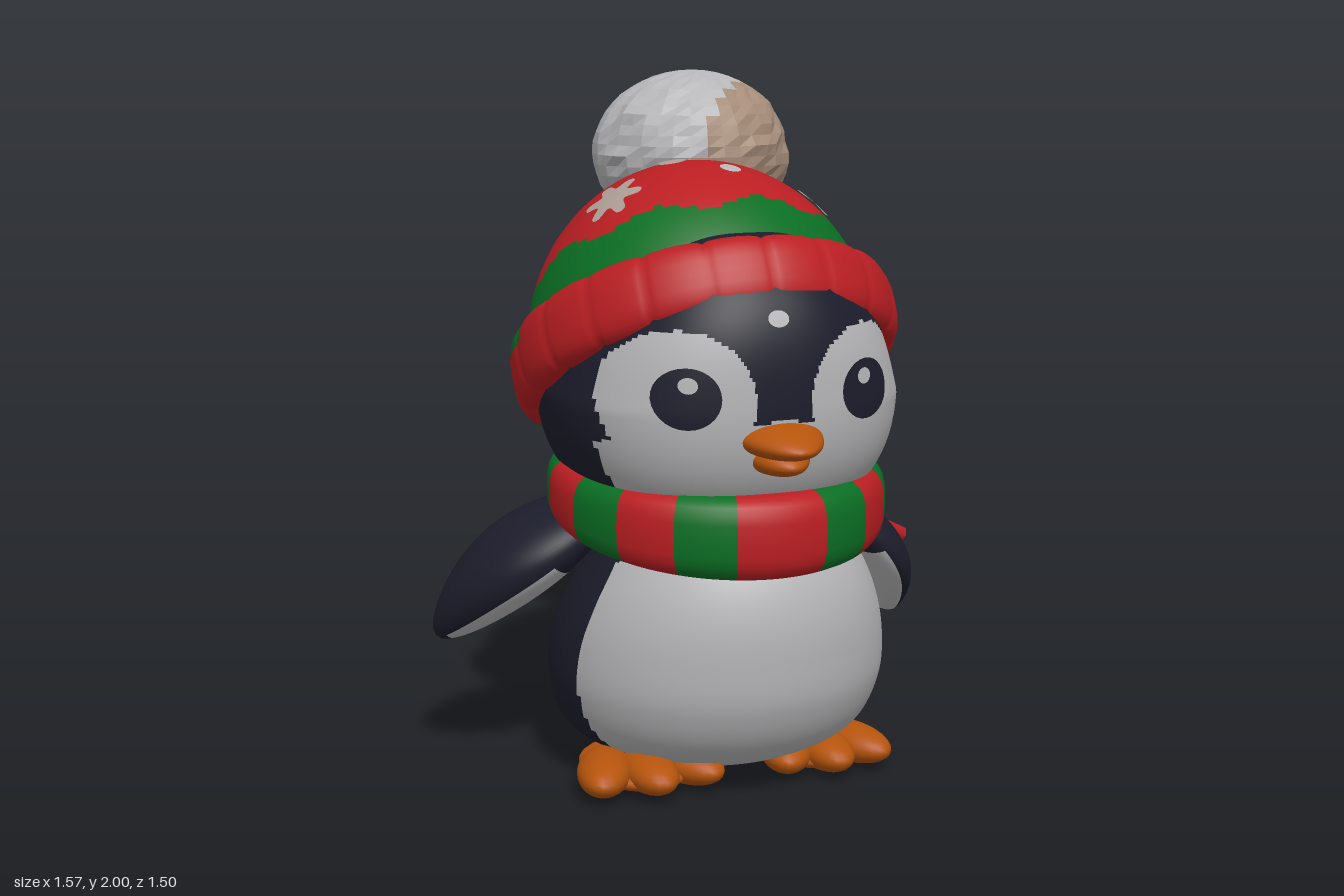
import * as THREE from 'three';
import { mergeVertices } from 'three/addons/utils/BufferGeometryUtils.js';

const PI = Math.PI, { sin, cos, abs, pow, sign, hypot } = Math;
const V = (x, y, z) => new THREE.Vector3(x, y, z);
const colour = (name, hex) => {
  const m = new THREE.MeshStandardMaterial({ color: hex });
  m.name = name;
  return m;
};
const sp = (c, e) => sign(c) * pow(abs(c), e);
const hash = (i, j) => { const s = sin(i * 127.1 + j * 311.7) * 43758.5453; return s - Math.floor(s); };

// Mesh over a (u, v) grid, each cell coloured by pick(u, v, point); faces point away from origin
function surface(name, nu, nv, f, mats, pick = () => 0, { flat = false, origin = null } = {}) {
  const pts = [], buckets = mats.map(() => []);
  for (let j = 0; j <= nv; j++) for (let i = 0; i <= nu; i++) pts.push(f(i / nu, j / nv));
  const o = origin || pts.reduce((s, p) => s.add(p), V(0, 0, 0)).divideScalar(pts.length);
  let volume = 0;
  const rel = k => pts[k].clone().sub(o);
  for (let j = 0; j < nv; j++) for (let i = 0; i < nu; i++) {
    const a = j * (nu + 1) + i, b = a + 1, c = a + nu + 1, d = c + 1;
    const mid = pts[a].clone().add(pts[d]).multiplyScalar(0.5);
    buckets[pick((i + 0.5) / nu, (j + 0.5) / nv, mid)].push(a, b, d, a, d, c);
    volume += rel(a).dot(rel(b).cross(rel(d))) + rel(a).dot(rel(d).cross(rel(c)));
  }
  if (volume < 0) buckets.forEach(t => { for (let k = 0; k < t.length; k += 3) [t[k], t[k + 1]] = [t[k + 1], t[k]]; });
  let g = new THREE.BufferGeometry().setFromPoints(pts);
  g.setIndex(buckets.flat());
  g = mergeVertices(g, 1e-5);
  let start = 0;
  buckets.forEach((t, k) => { if (t.length) g.addGroup(start, t.length, k); start += t.length; });
  if (flat) g = g.toNonIndexed();
  g.computeVertexNormals();
  const mesh = new THREE.Mesh(g, mats);
  mesh.name = name;
  return mesh;
}

function ellipsoid(name, c, r, mat) {
  const m = new THREE.Mesh(new THREE.SphereGeometry(1, 24, 16), mat);
  m.position.set(...c);
  m.scale.set(...r);
  m.name = name;
  return m;
}

export function createModel() {
  const model = new THREE.Group();
  model.name = 'winterPenguin';
  const white = colour('white', 0xb6b6b8), navy = colour('navy', 0x1c1d2b), red = colour('red', 0xba1e22);
  const green = colour('green', 0x0b6e24), orange = colour('orange', 0xb5540c), beige = colour('beige', 0xa68d7a);
  const crease = colour('crease', 0x701a14), snow = colour('snow', 0xae9f96);

  // Body with a pale belly; profile points are (radius, height, centre z)
  const profile = new THREE.CatmullRomCurve3([
    V(0, 0.035, 0.06), V(0.2, 0.04, 0.06), V(0.33, 0.07, 0.05), V(0.44, 0.15, 0.07), V(0.485, 0.28, 0.1), V(0.48, 0.42, 0.125),
    V(0.44, 0.55, 0.16), V(0.385, 0.66, 0.18), V(0.33, 0.76, 0.165), V(0.28, 0.85, 0.14)]);
  model.add(surface('body', 150, 90, (u, v) => {
    const p = profile.getPoint(v), a = u * 2 * PI;
    return V(p.x * sin(a), p.y, p.z + p.x * cos(a));
  }, [navy, white], (u, v, p) =>
    (p.y > 0.1 ? p.z > 0.24 + 0.13 * Math.max(0, p.y - 0.3) : abs(p.x) < 0.26 && p.z > 0) ? 1 : 0));

  // Head: squarish, narrowing upward, with a pale two-lobed mask; cells are finer at the face
  const headC = V(0, 1.17, 0.1), N = 2.35;
  const headS = y => pow(Math.max(0, 1 - pow(abs(y - 1.17) / 0.45, 2.5)), 0.4);
  const headX = y => 0.5 * headS(y) * (1 - 0.55 * Math.max(0, y - 1.12));
  const inside = (x, y, cx, cy, rx, ry) => hypot((x - cx) / rx, (y - cy) / ry) < 1;
  model.add(surface('head', 180, 130, (u, v) => {
    const y = 1.17 - 0.45 * cos(v * PI), a = u * 2 * PI - 0.55 * sin(u * 2 * PI), end = v === 0 || v === 1 ? 0 : 1;
    const r = end * pow(pow(abs(sin(a)), N) + pow(abs(cos(a)), N), -1 / N);
    return V(headX(y) * r * sin(a), y, 0.1 + 0.52 * headS(y) * r * cos(a));
  }, [navy, white], (u, v, p) => {
    const x = abs(p.x);
    return p.z > 0.35 && (inside(x, p.y, 0.265, 1.15, 0.185, 0.195) || inside(x, p.y, 0, 0.96, 0.52, 0.14)) ? 1 : 0;
  }));

  // Thin plates lying on the face
  const facePlate = (name, cx, cy, rx, ry, lift, mat) => model.add(surface(name, 28, 6, (u, v) => {
    const x = cx + rx * v * cos(u * 2 * PI), y = cy + ry * v * sin(u * 2 * PI);
    return V(x, y, 0.1 + lift + 0.52 * headS(y) * pow(1 - pow(abs(x) / headX(y), N), 1 / N));
  }, [mat], () => 0, { origin: headC }));
  for (const s of [-1, 1]) {
    facePlate('eye', s * 0.26, 1.168, 0.085, 0.083, 0.006, navy);
    facePlate('eyeGlint', s * 0.255 - 0.005, 1.205, 0.024, 0.022, 0.011, white);
  }
  facePlate('foreheadSnow', -0.01, 1.375, 0.03, 0.022, 0.006, white);

  // Beak, narrowing toward the tip
  const beak = (name, c, r) => model.add(surface(name, 32, 20, (u, v) => {
    const a = u * 2 * PI, k = -cos(v * PI), w = sin(v * PI) * (1 - 0.25 * k);
    return V(c[0] + r[0] * w * cos(a), c[1] + r[1] * w * sin(a) - 0.015 * k, c[2] + r[2] * k);
  }, [orange]));
  beak('upperBeak', [0, 1.05, 0.59], [0.12, 0.052, 0.16]);
  beak('lowerBeak', [0, 0.998, 0.57], [0.09, 0.05, 0.12]);

  // Flippers tapering to the tip, pale on the inner side
  const flipper = (name, a, b, W, T, s) => {
    const d = b.clone().sub(a), n1 = d.clone().normalize();
    const w = V(0, 0, 1).addScaledVector(n1, -n1.z).normalize();
    const n = V(s * 0.9, 0.45, 0).addScaledVector(n1, -V(s * 0.9, 0.45, 0).dot(n1)).normalize();
    model.add(surface(name, 56, 40, (u, v) => {
      const p = v === 1 ? 0 : pow(sin(PI * (0.14 + 0.86 * v)), 0.55), q = u * 2 * PI;
      return a.clone().addScaledVector(d, v).addScaledVector(w, W * (1.25 - 0.5 * v) * p * cos(q))
        .addScaledVector(n, T * p * sin(q) + 0.03 * sin(PI * v));
    }, [navy, white], (u, v) => {
      const c = cos(u * 2 * PI);
      return v > 0.2 && v < 0.92 && c > -0.75 && sin(u * 2 * PI) < -0.42 + 0.3 * Math.max(0, c) ? 1 : 0;
    }));
  };
  flipper('leftFlipper', V(0.38, 0.75, 0.14), V(0.62, 0.365, -0.02), 0.175, 0.085, 1);
  flipper('rightFlipper', V(-0.37, 0.74, 0.0), V(-0.765, 0.375, -0.19), 0.18, 0.115, -1);

  // Feet: a flat sole and three splayed toes
  for (const s of [-1, 1]) {
    const foot = new THREE.Group(), spread = s > 0 ? 0.1 : 0.118;
    foot.name = s > 0 ? 'leftFoot' : 'rightFoot';
    foot.position.x = s > 0 ? 0.255 : -0.285;
    foot.add(ellipsoid('sole', [0, 0.046, 0.2], [0.155, 0.044, 0.21], orange));
    [-1, 0, 1].forEach(k => {
      const toe = ellipsoid('toe', [s * k * spread, 0.064, 0.31 - abs(k) * 0.03], [0.078, 0.057, 0.16], orange);
      toe.rotation.y = s * k * 0.35;
      foot.add(toe);
    });
    model.add(foot);
  }

  // Knitted pompoms with blocky bumps
  const pompom = (name, c, r, amp, mats, pick) => model.add(surface(name, 36, 24, (u, v) => {
    const a = u * 2 * PI, w = sin(v * PI), d = V(w * sin(a), -cos(v * PI), w * cos(a));
    const i = Math.round(u * 36) % 36, j = Math.round(v * 24);
    const k = 1 - amp(d) * w * hash(i, j);
    return V(c[0] + r[0] * k * d.x, c[1] + r[1] * k * d.y, c[2] + r[2] * k * d.z);
  }, mats, pick, { flat: true }));
  const beigeDir = V(0.78, -0.14, 0.61);
  pompom('hatPompom', [0.145, 1.75, -0.465], [0.31, 0.252, 0.29], d => (d.z > 0.1 ? 0.06 : 0.015), [white, beige], (u, v, p) =>
    V((p.x - 0.145) / 0.31, (p.y - 1.75) / 0.252, (p.z + 0.465) / 0.29).dot(beigeDir) > 0.37 ? 1 : 0);
  pompom('tailPompom', [0, 0.212, -0.525], [0.17, 0.163, 0.183], () => 0.1, [white], () => 0);

  // Hat, tilted backward
  const hat = new THREE.Group();
  hat.name = 'hat';
  hat.position.set(0, 1.225, 0.015);
  hat.rotation.x = -0.518;
  model.add(hat);
  const onDome = (d, lift) => V(d.x * (0.505 + lift), d.y * (0.545 + lift), d.z * (0.515 + lift) - 0.014);
  hat.add(surface('hatDome', 120, 50, (u, v) => {
    const a = u * 2 * PI, e = v * PI / 2;
    return onDome(V(cos(e) * sin(a), sin(e), cos(e) * cos(a)), 0);
  }, [red, green], (u, v, p) => (p.y < 0.235 + 0.018 * sin(u * 2 * PI * 9) + 0.02 * cos(u * 2 * PI) ? 1 : 0)));

  // Ribbed brim with a green patch on one side
  const ribs = u => abs(sin(u * PI * 20));
  hat.add(surface('hatBrim', 240, 24, (u, v) => {
    const a = u * 2 * PI, q = v * 2 * PI, k = 0.91 + 0.09 * pow(ribs(u), 0.3);
    const out = 0.063 * k * sp(cos(q), 0.8);
    return V((0.5 + out) * sin(a), -0.005 + 0.11 * k * sp(sin(q), 0.8), (0.525 + out) * cos(a));
  }, [red, green, crease], (u, v, p) =>
    ((u > 0.6 && u < 0.76 && p.y > 0.015) || (u > 0.625 && u < 0.66) ? 1 : ribs(u) < 0.1 ? 2 : 0)));

  // Snowflakes and snow dots on the dome
  const flake = (c, size, arms, mat) => {
    const n = V(c[0] / 0.505, c[1] / 0.545, (c[2] + 0.014) / 0.515).normalize();
    const e1 = V(0, 0, 1).cross(n).normalize(), e2 = n.clone().cross(e1);
    hat.add(surface(arms ? 'snowflake' : 'snowDot', arms ? 72 : 16, 4, (u, v) => {
      const a = u * 2 * PI, r = size * 2 * v * (arms ? 0.77 + 0.23 * sp(cos(6 * a), 0.6) : 1);
      return onDome(n.clone().addScaledVector(e1, r * cos(a)).addScaledVector(e2, r * sin(a)).normalize(), 0.007);
    }, [mat], () => 0, { origin: V(0, 0, 0) }));
  };
  [[0.3, 0.31, 0.23], [-0.27, 0.34, 0.23], [-0.33, 0.38, -0.1], [-0.08, 0.33, -0.4]].forEach(c => flake(c, 0.092, true, snow));
  [[-0.08, 0.45, 0.22], [0.42, 0.33, -0.04], [0.35, 0.31, -0.27], [0.16, 0.29, -0.42]].forEach(c => flake(c, 0.04, false, snow));
  flake([0.04, 0.37, 0.315], 0.03, false, white);

  // Striped scarf ring, lower at the front
  const stripe = u => Math.floor((360 * Math.min(u, 1 - u) + 4.5) / 20.5) % 2;
  model.add(surface('scarfRing', 160, 24, (u, v) => {
    const a = u * 2 * PI, q = v * 2 * PI, out = 0.085 * sp(cos(q), 0.7), h = 0.1 + 0.018 * cos(a);
    return V((0.4 + out) * sin(a), 0.818 - 0.044 * cos(a) + h * sp(sin(q), 0.7), 0.11 + (0.435 + out) * cos(a));
  }, [red, green], stripe));

  // Hanging scarf end, widening toward its fringe
  const tailA = V(0.29, 0.84, -0.26), tailB = V(0.5, 0.585, -0.37), across = V(0.62, 0.1, 0.75).normalize();
  const along = tailB.clone().sub(tailA), thick = along.clone().cross(across).normalize();
  model.add(surface('scarfEnd', 28, 24, (u, v) => {
    const q = u * 2 * PI, cap = v === 0 || v === 1 ? 0 : 1, w = (0.11 + 0.1 * v) * cap;
    return tailA.clone().addScaledVector(along, v).addScaledVector(across, w * sp(cos(q), 0.5)).addScaledVector(thick, 0.03 * cap * sp(sin(q), 0.5));
  }, [red, green], (u, v) => (v > 0.45 ? 1 : 0), { flat: true }));

  // Fringe strands gathered in four bunches along the scarf end
  const tips = [V(0.3, 0.43, -0.64), V(0.51, 0.56, -0.67), V(0.67, 0.54, -0.58), V(0.755, 0.53, -0.29)];
  for (let i = 0; i < 12; i++) {
    const a = tailB.clone().addScaledVector(across, 0.17 * (i / 5.5 - 1)).addScaledVector(along, -0.06);
    const b = tips[Math.floor(i / 3)].clone().addScaledVector(across, 0.045 * (i % 3 - 1)).add(V(0, 0.03 * (hash(i, 3) - 0.5), 0));
    const strand = new THREE.Mesh(new THREE.CylinderGeometry(0.026, 0.034, a.distanceTo(b), 6), red);
    strand.position.copy(a).lerp(b, 0.5);
    strand.quaternion.setFromUnitVectors(V(0, 1, 0), b.clone().sub(a).normalize());
    strand.name = 'fringe';
    model.add(strand);
  }
  return model;
}
